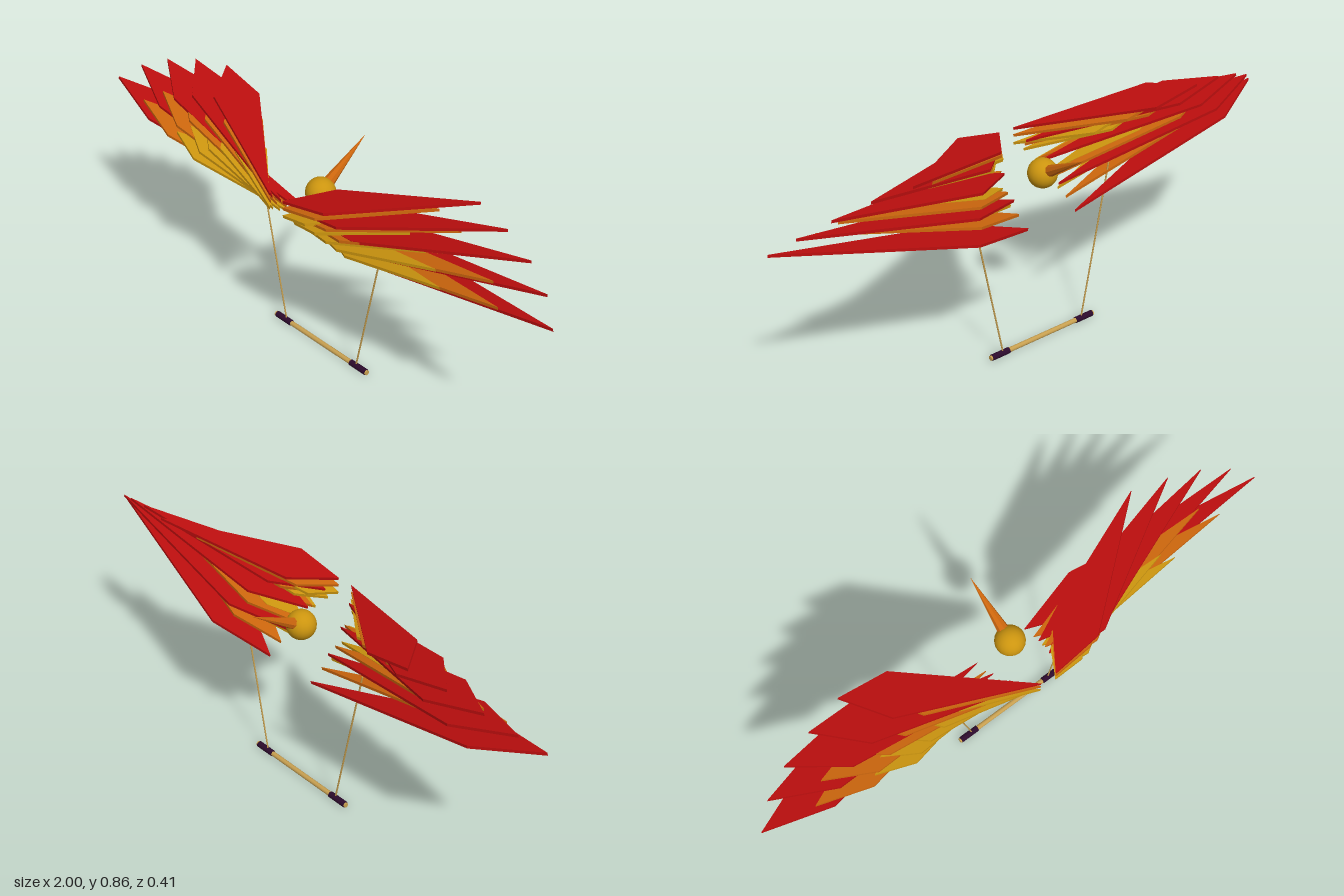
import * as THREE from 'three';

const paint = (name, color) => {
  const m = new THREE.MeshStandardMaterial({ color });
  m.name = name;
  return m;
};

// Flat kite-shaped plate running from the origin along +x, widest at a quarter of its length
function kiteGeometry(length, halfWidth, thickness) {
  const shape = new THREE.Shape([
    new THREE.Vector2(0, 0),
    new THREE.Vector2(length * 0.25, -halfWidth),
    new THREE.Vector2(length, 0),
    new THREE.Vector2(length * 0.25, halfWidth),
  ]);
  const g = new THREE.ExtrudeGeometry(shape, { depth: thickness, bevelEnabled: false });
  g.translate(0, 0, -thickness / 2);
  g.rotateX(-Math.PI / 2);
  return g;
}

export function createModel() {
  const model = new THREE.Group();
  const red = paint('red', 0xbb0e0e);
  const orange = paint('orange', 0xcc660d);
  const gold = paint('gold', 0xcc950f);
  const tan = paint('tan', 0xc8a050);
  const purple = paint('dark purple', 0x2c0a2c);

  const add = (parent, name, geometry, material) => {
    const mesh = new THREE.Mesh(geometry, material);
    mesh.name = name;
    parent.add(mesh);
    return mesh;
  };

  // Cylinder or cone between two points
  const rod = (name, a, b, r0, r1, sides, material) => {
    const dir = b.clone().sub(a);
    const mesh = add(model, name, new THREE.CylinderGeometry(r1, r0, dir.length(), sides), material);
    mesh.position.copy(a).add(b).multiplyScalar(0.5);
    mesh.quaternion.setFromUnitVectors(new THREE.Vector3(0, 1, 0), dir.normalize());
    return mesh;
  };
  const v = (x, y, z) => new THREE.Vector3(x, y, z);

  // Wings: three nested layers of five feathers fanned along a curved row of roots
  const layers = [
    { name: 'outerFeather', mat: red, yTop: 0.741, yLow: 0.508, zLow: -0.05, scale: 1, width: 0.08 },
    { name: 'middleFeather', mat: orange, yTop: 0.715, yLow: 0.54, zLow: 0, scale: 0.8, width: 0.068 },
    { name: 'innerFeather', mat: gold, yTop: 0.685, yLow: 0.555, zLow: 0.045, scale: 0.57, width: 0.055 },
  ];
  const dihedral = THREE.MathUtils.degToRad(12.2);
  for (const side of [1, -1]) {
    const wing = new THREE.Group();
    wing.name = side > 0 ? 'leftWing' : 'rightWing';
    model.add(wing);
    for (const layer of layers) {
      for (let i = 0; i < 5; i++) {
        const t = i / 4;
        const length = THREE.MathUtils.lerp(0.643, 0.926, t) * layer.scale;
        const yaw = THREE.MathUtils.degToRad(THREE.MathUtils.lerp(-29, 6, t));
        const g = kiteGeometry(length, layer.width, 0.01);
        // the right wing carries its feathers with the broad end outward
        if (side < 0) g.rotateY(Math.PI).translate(length, 0, 0);
        const feather = add(wing, layer.name, g, layer.mat);
        feather.position.set(
          side * (0.03 + 0.07 * Math.sin(t * Math.PI / 2)),
          layer.yTop - (layer.yTop - layer.yLow) * t ** 1.25,
          0.2 - (0.2 - layer.zLow) * t ** 1.4
        );
        feather.rotation.order = 'ZYX';
        feather.rotation.y = side > 0 ? -yaw : Math.PI + yaw;
        feather.rotation.z = side * dihedral;
      }
    }
  }

  // Head and its long spike
  add(model, 'head', new THREE.SphereGeometry(0.052, 20, 14), gold).position.set(0, 0.667, 0);
  const spikeGeo = rod('spike', v(0, 0.688, -0.034), v(0, 0.798, -0.21), 0.021, 0, 8, orange);
  spikeGeo.geometry = spikeGeo.geometry.toNonIndexed();
  spikeGeo.geometry.computeVertexNormals();

  // Hanging bar, grips and cords
  rod('bar', v(-0.23, 0.012, 0), v(0.23, 0.012, 0), 0.009, 0.009, 12, tan);
  for (const s of [1, -1]) {
    rod('grip', v(s * 0.15, 0.012, 0), v(s * 0.224, 0.012, 0), 0.0115, 0.0115, 12, purple);
    rod('cord', v(s * 0.175, 0.012, 0), v(s * 0.288, 0.61, 0), 0.003, 0.003, 6, tan);
  }

  return model;
}
